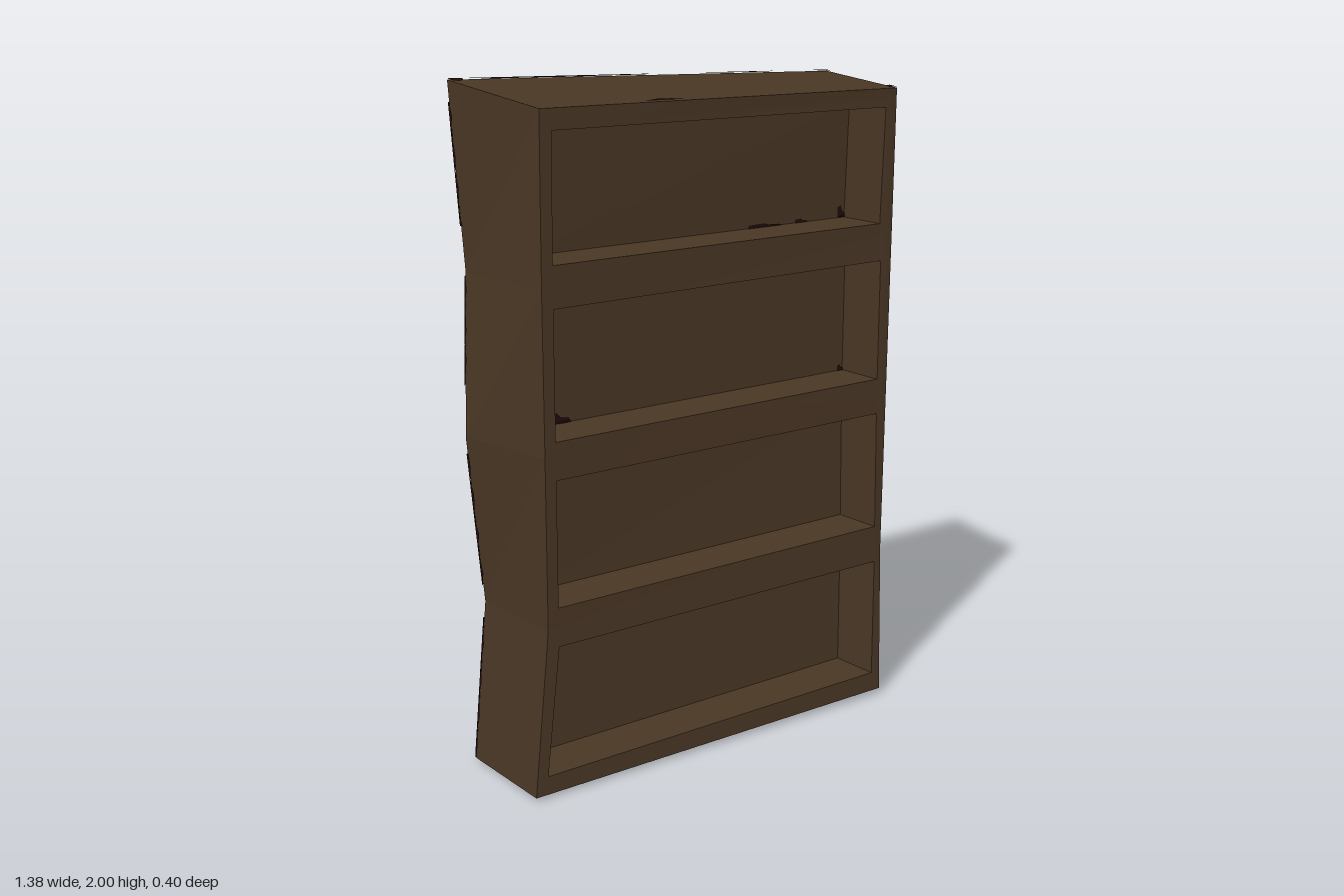
import * as THREE from 'three';

const V = (x, y, z) => new THREE.Vector3(x, y, z);

// Corner posts of the warped case, bottom to top, as [x, y, z]
const POSTS = {
  FL: [[-0.69, 0.01, 0.17], [-0.636, 0.5, 0.165], [-0.636, 1, 0.165], [-0.637, 1.47, 0.165], [-0.638, 1.95, 0.17]],
  FR: [[0.615, 0.02, 0.192], [0.615, 0.5, 0.182], [0.62, 1, 0.176], [0.62, 1.47, 0.18], [0.62, 1.93, 0.2]],
  BR: [[0.685, 0, -0.17], [0.645, 0.5, -0.15], [0.665, 1, -0.156], [0.65, 1.47, -0.16], [0.68, 1.95, -0.18]],
  BL: [[-0.676, 0.01, -0.17], [-0.642, 0.5, -0.15], [-0.686, 1, -0.16], [-0.667, 1.47, -0.166], [-0.688, 2, -0.2]],
};
const DEPTH = 0.16;

// Shelf openings: bottom left, bottom right, top right, top left
const OPENINGS = [
  [[-0.648, 0.065], [0.582, 0.08], [0.59, 0.45], [-0.6, 0.445]],
  [[-0.6, 0.56], [0.59, 0.565], [0.59, 0.93], [-0.6, 0.93]],
  [[-0.6, 1.04], [0.59, 1.04], [0.59, 1.41], [-0.6, 1.41]],
  [[-0.6, 1.53], [0.58, 1.525], [0.58, 1.875], [-0.6, 1.89]],
];

// Point on a corner post at height y
function post(name, y) {
  const p = POSTS[name];
  let i = 0;
  while (i < 3 && y > p[i + 1][1]) i++;
  const t = THREE.MathUtils.clamp((y - p[i][1]) / (p[i + 1][1] - p[i][1]), 0, 1);
  return V(...p[i]).lerp(V(...p[i + 1]), t);
}

function frontZ(x, y) {
  const a = post('FL', y), b = post('FR', y);
  return THREE.MathUtils.lerp(a.z, b.z, (x - a.x) / (b.x - a.x));
}

// Flat-shaded geometry from quads with counter-clockwise corners
function quads(list) {
  const pts = [];
  for (const [a, b, c, d] of list) pts.push(a, b, c, a, c, d);
  const g = new THREE.BufferGeometry().setFromPoints(pts);
  g.computeVertexNormals();
  return g;
}

// Flat outline mapped onto a surface by a rule
function mapped(shape, rule) {
  const g = new THREE.ShapeGeometry(shape);
  const p = g.attributes.position;
  for (let i = 0; i < p.count; i++) {
    const q = rule(p.getX(i), p.getY(i));
    p.setXYZ(i, q.x, q.y, q.z);
  }
  g.computeVertexNormals();
  return g;
}

const outline = (pts) => new THREE.Shape(pts.map(([x, y]) => new THREE.Vector2(x, y)));

export function createModel() {
  const model = new THREE.Group();
  const wood = new THREE.MeshStandardMaterial({ color: 0x4a3725 });
  wood.name = 'brown wood';
  const dark = new THREE.MeshStandardMaterial({ color: 0x210d0c, side: THREE.DoubleSide });
  dark.name = 'dark worn wood';

  function add(name, geometry, material = wood) {
    const m = new THREE.Mesh(geometry, material);
    m.name = name;
    model.add(m);
  }

  // Outer panels
  const panel = (a, b) => quads([0, 1, 2, 3].map((i) =>
    [POSTS[a][i], POSTS[b][i], POSTS[b][i + 1], POSTS[a][i + 1]].map((p) => V(...p))));
  add('leftSide', panel('FR', 'BR'));
  add('backPanel', panel('BR', 'BL'));
  add('rightSide', panel('BL', 'FL'));
  add('topBoard', quads([['FL', 'FR', 'BR', 'BL'].map((n) => V(...POSTS[n][4]))]));
  add('baseBoard', quads([['BL', 'BR', 'FR', 'FL'].map((n) => V(...POSTS[n][0]))]));

  // Front frame with four openings
  const frame = outline([...POSTS.FL, ...[...POSTS.FR].reverse()]);
  for (const o of OPENINGS) frame.holes.push(new THREE.Path(o.map(([x, y]) => new THREE.Vector2(x, y))));
  add('frontFrame', mapped(frame, (x, y) => V(x, y, frontZ(x, y))));

  // Shelf recesses
  OPENINGS.forEach((o, n) => {
    const f = o.map(([x, y]) => V(x, y, frontZ(x, y)));
    const b = f.map((p) => V(p.x, p.y, p.z - DEPTH));
    if (n === 0) b[0].x = -0.622;
    const names = ['shelfBoard', 'recessLeftWall', 'recessCeiling', 'recessRightWall'];
    names.forEach((name, i) => {
      const j = (i + 1) % 4;
      add(name + (n + 1), quads([[f[i], f[j], b[j], b[i]]]));
    });
    add('recessBack' + (n + 1), quads([b]));
  });

  // Worn patches on an outer panel: u runs from post a towards post b, v is height
  function wear(name, a, b, out, pts) {
    add(name, mapped(outline(pts), (u, y) => {
      const p = post(a, y), d = post(b, y).sub(p);
      return p.addScaledVector(d.normalize(), u).add(out);
    }), dark);
  }
  // Ragged strip down the edge at post a
  function edgeWear(name, a, b, out, y0, y1, width) {
    const pts = [[0, y0]], n = Math.ceil((y1 - y0) / 0.04);
    for (let i = 0; i <= n; i++) {
      pts.push([width * (0.55 + 0.45 * Math.sin(i * 2.3 + y0 * 9)), y0 + (y1 - y0) * i / n]);
    }
    pts.push([0, y1]);
    wear(name, a, b, out, pts);
  }
  const back = V(0, 0, -0.004), left = V(0.004, 0, 0), right = V(-0.004, 0, 0);
  for (const [y0, y1, w] of [[0.02, 0.45, 0.012], [0.55, 0.95, 0.014], [1.15, 1.46, 0.01], [1.6, 1.94, 0.012]]) {
    edgeWear('leftEdgeWear', 'BR', 'FR', left, y0, y1, w);
    edgeWear('rightEdgeWear', 'BL', 'FL', right, y0, y1, w);
    edgeWear('backEdgeWear', 'BL', 'BR', back, y0, y1, w);
  }
  const corner = [[0, 0.01], [0.16, 0.012], [0.13, 0.035], [0.11, 0.03], [0.1, 0.06], [0.06, 0.065], [0.04, 0.05], [0.02, 0.09], [0, 0.1]];
  wear('backCornerWear', 'BR', 'BL', back, corner);
  wear('backCornerWear', 'BL', 'BR', back, corner);
  wear('backBottomWear', 'BR', 'BL', back,
    [[0.15, 0.012], [0.7, 0.012], [0.62, 0.024], [0.5, 0.018], [0.42, 0.03], [0.3, 0.022], [0.22, 0.032]]);

  // Worn patches on the top board: u from left to right, v from back to front
  function topWear(pts) {
    add('topWear', mapped(outline(pts), (u, v) => {
      const [fl, fr, br, bl] = ['FL', 'FR', 'BR', 'BL'].map((n) => V(...POSTS[n][4]));
      return bl.lerp(br, u).lerp(fl.lerp(fr, u), v).add(V(0, 0.004, 0));
    }), dark);
  }
  topWear([[0, 0], [0.035, 0], [0.025, 0.06], [0.01, 0.1], [0, 0.08]]);
  topWear([[0.035, 0], [0.5, 0], [0.48, 0.03], [0.36, 0.035], [0.3, 0.05], [0.2, 0.04], [0.1, 0.045]]);
  topWear([[0.64, 0], [0.84, 0], [0.82, 0.035], [0.68, 0.03]]);
  topWear([[0.96, 0], [1, 0], [1, 0.07], [0.97, 0.06]]);
  topWear([[0.27, 1], [0.38, 1], [0.35, 0.96], [0.31, 0.95]]);
  topWear([[0.975, 1], [1, 1], [1, 0.9], [0.985, 0.92]]);

  // Worn patches inside the recesses, on the back and spilling onto the shelf
  function recessWear(x0, x1, y, h, spill) {
    const w = x1 - x0, z = (x) => frontZ(x, y) - DEPTH;
    add('recessWear', mapped(outline([[x0, y], [x1, y], [x1 - w * 0.1, y + h * 0.4], [x0 + w * 0.6, y + h * 0.55],
      [x0 + w * 0.45, y + h], [x0, y + h * 0.85]]), (u, v) => V(u, v, z(u) + 0.004)), dark);
    if (spill) {
      add('shelfWear', mapped(outline([[x0, 0], [x1, 0], [x1 - w * 0.3, spill * 0.5], [x0 + w * 0.4, spill * 0.6], [x0, spill]]),
        (u, v) => V(u, y + 0.005, z(u) + v)), dark);
    }
  }
  recessWear(-0.62, -0.56, 0.075, 0.045, 0.03);
  recessWear(-0.6, -0.56, 0.562, 0.08, 0.03);
  recessWear(-0.53, -0.44, 1.04, 0.032, 0.03);
  recessWear(0.565, 0.59, 1.04, 0.02, 0);
  recessWear(-0.6, -0.555, 1.53, 0.04, 0.03);
  recessWear(0.55, 0.58, 1.526, 0.038, 0.02);
  recessWear(0.2, 0.33, 1.526, 0.012, 0);
  recessWear(0.38, 0.43, 1.526, 0.012, 0);
  return model;
}
